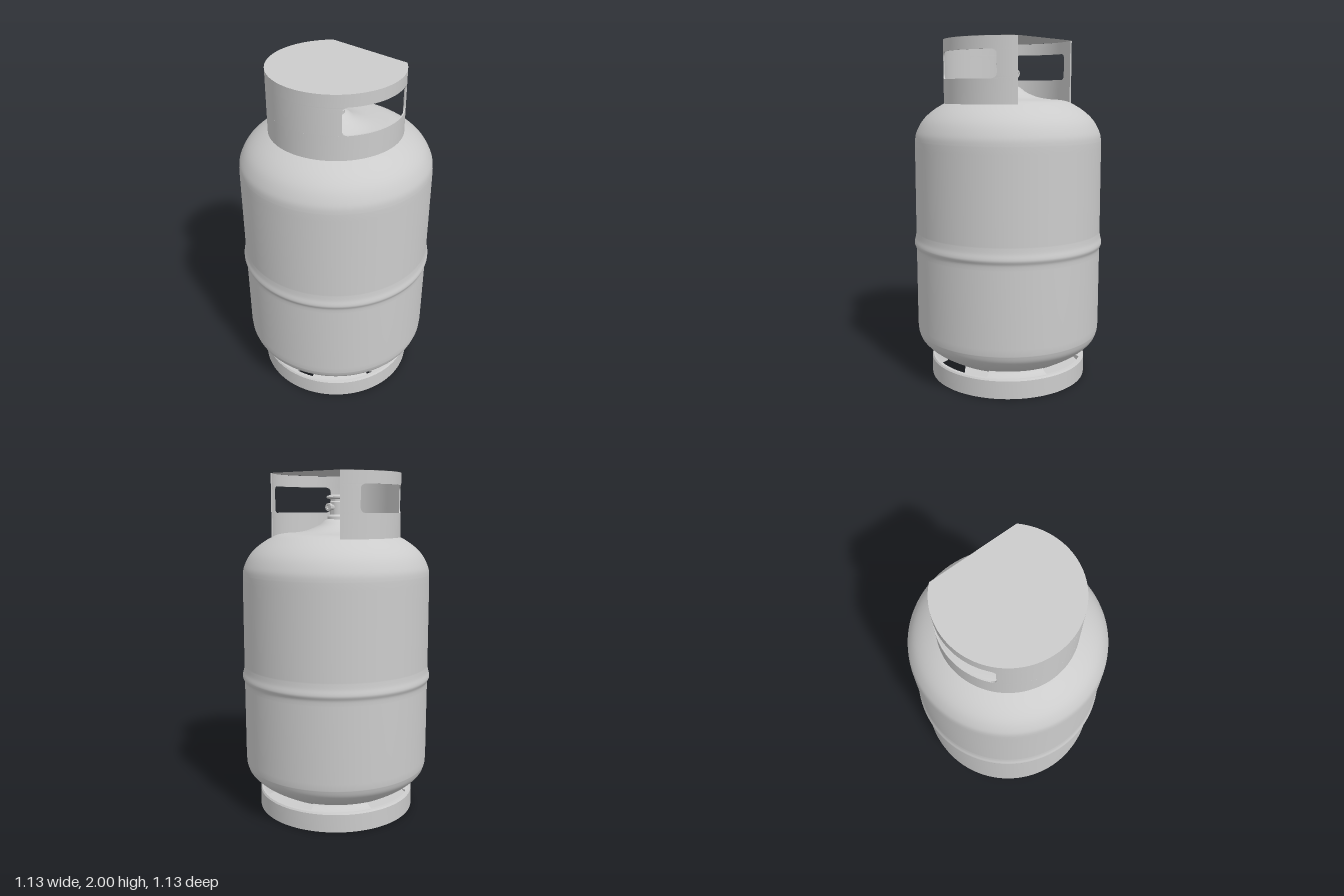
import * as THREE from 'three';
import { toCreasedNormals } from 'three/addons/utils/BufferGeometryUtils.js';

const material = new THREE.MeshStandardMaterial({ color: 0xcccccc });
const thinMaterial = new THREE.MeshStandardMaterial({ color: 0xcccccc, side: THREE.DoubleSide });
const rad = THREE.MathUtils.degToRad;
const vectors = (list) => list.map(([x, y]) => new THREE.Vector2(x, y));

function part(name, geometry, mat = material) {
  const mesh = new THREE.Mesh(geometry, mat);
  mesh.name = name;
  return mesh;
}

// Turned solid with sharp edges kept
const turned = (profile, segments) =>
  toCreasedNormals(new THREE.LatheGeometry(vectors(profile), segments), rad(35));

// Horizontal disc with one segment cut off along a chord; angles run from +x towards +z
function cutDisc(radius, from, to, y) {
  const shape = new THREE.Shape();
  shape.absarc(0, 0, radius, rad(from), rad(to), false);
  shape.closePath();
  return new THREE.ShapeGeometry(shape, 80).rotateX(Math.PI / 2).translate(0, y, 0);
}

// Box bent round the y axis; angles run from +z towards +x.
// flareStart and flareEnd widen the ends into rounded window corners.
function bentPanel(radius, thickness, from, to, y0, y1, flareStart = 0, flareEnd = 0) {
  const height = y1 - y0;
  const rows = flareStart || flareEnd ? 24 : 1;
  const geometry = new THREE.BoxGeometry(1, height, thickness, Math.ceil((to - from) / 3), rows, 1);
  const pos = geometry.attributes.position;
  for (let i = 0; i < pos.count; i++) {
    const y = pos.getY(i) + height / 2;
    const fillet = (size) => {
      const d = Math.max(0, size - Math.min(y, height - y));
      return (size - Math.sqrt(Math.max(0, size * size - d * d))) / radius;
    };
    const start = rad(from) - fillet(flareStart);
    const end = rad(to) + fillet(flareEnd);
    const angle = THREE.MathUtils.lerp(start, end, pos.getX(i) + 0.5);
    const r = radius + pos.getZ(i) - thickness / 2;
    pos.setXYZ(i, r * Math.sin(angle), y0 + y, r * Math.cos(angle));
  }
  geometry.computeVertexNormals();
  return geometry;
}

function createTank() {
  const spline = (list, n) => new THREE.SplineCurve(vectors(list)).getPoints(n);
  const lower = spline([[0, 0.06], [0.2, 0.07], [0.33, 0.1], [0.41, 0.14], [0.48, 0.185],
    [0.53, 0.235], [0.548, 0.28]], 36);
  const seam = spline([[0.551, 0.76], [0.553, 0.79], [0.562, 0.812], [0.562, 0.828],
    [0.555, 0.855], [0.551, 0.89]], 20);
  const upper = spline([[0.548, 1.42], [0.54, 1.468], [0.505, 1.535], [0.45, 1.59], [0.375, 1.637],
    [0.32, 1.655], [0.25, 1.661], [0.18, 1.672], [0.11, 1.7], [0.06, 1.735], [0, 1.745]], 50);
  const profile = [...lower, new THREE.Vector2(0.551, 0.32), ...seam,
    new THREE.Vector2(0.549, 1.38), ...upper];
  return part('tank', new THREE.LatheGeometry(profile, 96));
}

function createFoot() {
  const foot = new THREE.Group();
  foot.name = 'foot';
  foot.add(part('footRing', turned([[0.455, 0], [0.468, 0], [0.468, 0.105], [0.461, 0.114],
    [0.445, 0.116], [0.445, 0.105], [0.455, 0.1], [0.455, 0]], 96)));
  // Four sloping tabs reach up to the tank, with slots between them
  const slope = vectors([[0.455, 0.114], [0.415, 0.125], [0.402, 0.142]]);
  for (let i = 0; i < 4; i++) {
    foot.add(part('footTab', new THREE.LatheGeometry(slope, 20, rad(22.5 + 90 * i), rad(45)),
      thinMaterial));
  }
  foot.add(part('footPlate', cutDisc(0.462, 104, 355, 0.001), thinMaterial));
  return foot;
}

function createCollar() {
  const collar = new THREE.Group();
  collar.name = 'collar';
  const R = 0.376, T = 0.008, back = 136, windowFront = 46, windowBack = 118.7, corner = 0.028;
  const low = 1.635, sill = 1.775, head = 1.93, top = 2;
  const add = (name, ...args) => collar.add(part(name, bentPanel(R, T, ...args)));
  add('collarLowerBand', -back, back, low, sill);
  add('collarUpperBand', -back, back, head, top - 0.001);
  add('collarFrontPanel', -windowFront, windowFront, sill, head, corner, corner);
  add('collarBackPost', windowBack, back, sill, head, corner, 0);
  add('collarBackPost', -back, -windowBack, sill, head, 0, corner);
  // Top plate, straight along the open back
  collar.add(part('collarTop', cutDisc(R, back - 180 - 90 + 44 + 46, 270 - 44, top), thinMaterial));
  collar.children.at(-1).geometry.dispose();
  collar.children.at(-1).geometry = cutDisc(R, 90 - back, 90 + back, top);
  return collar;
}

function createValve() {
  const valve = new THREE.Group();
  valve.name = 'valve';
  valve.add(part('valveBody', turned([[0.056, 1.72], [0.056, 1.755], [0.042, 1.765], [0.042, 1.838],
    [0.033, 1.842], [0.033, 1.855], [0, 1.855]], 32)));
  valve.add(part('handwheel', turned([[0, 1.852], [0.045, 1.853], [0.06, 1.859], [0.062, 1.866],
    [0.055, 1.874], [0.03, 1.879], [0, 1.879]], 32)));
  // Outlet pointing to the open back
  const outlet = turned([[0, 0], [0.016, 0], [0.016, 0.062], [0.022, 0.062], [0.022, 0.08],
    [0.012, 0.08], [0.012, 0.07], [0, 0.07]], 24);
  valve.add(part('outlet', outlet.rotateX(-Math.PI / 2).translate(0, 1.808, 0)));
  valve.position.z = 0.01;
  return valve;
}

export function createModel() {
  const model = new THREE.Group();
  model.name = 'gasCylinder';
  model.add(createTank(), createFoot(), createCollar(), createValve());
  return model;
}
